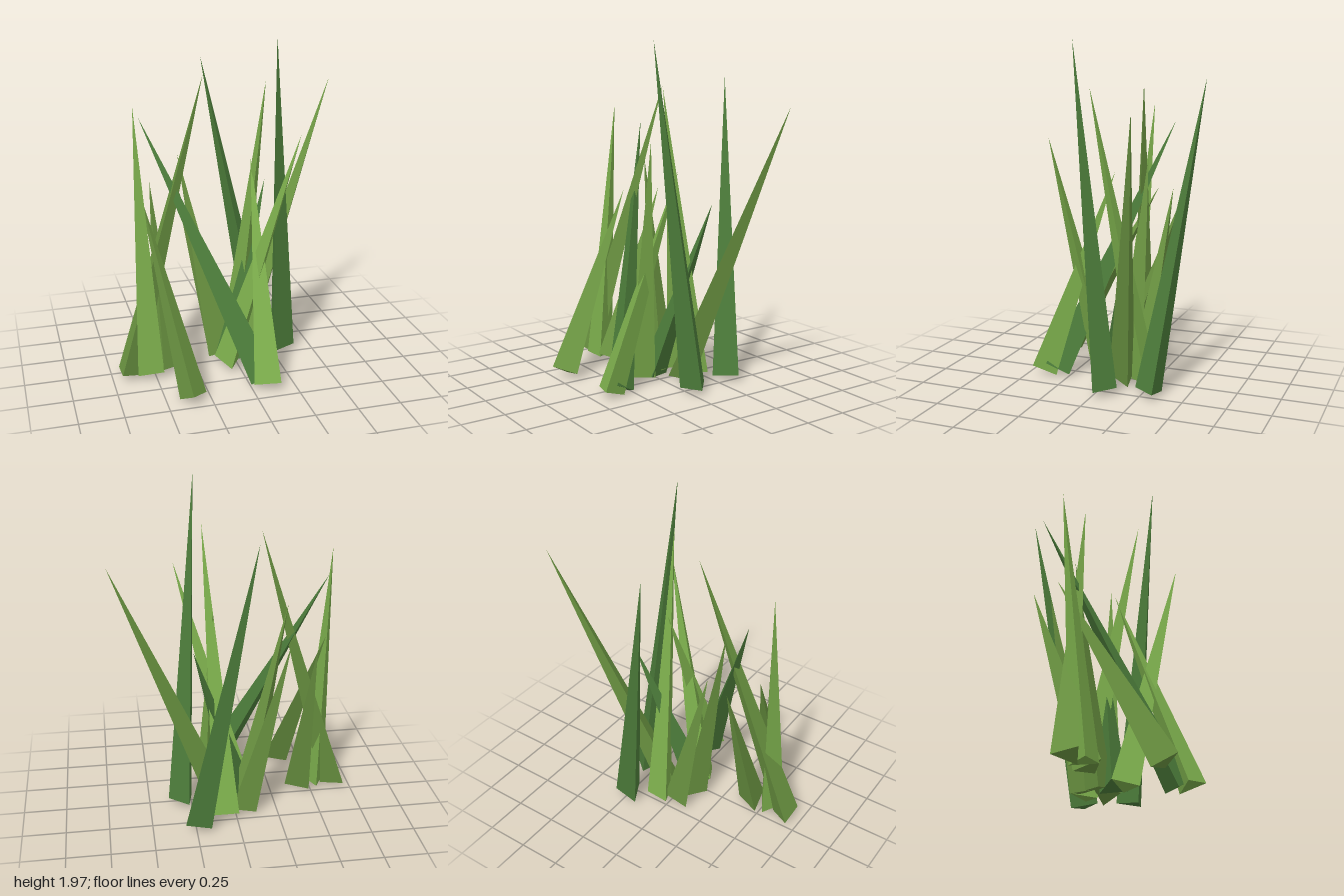
import * as THREE from 'three';

// Three greens for the grass
const green = (name, color) => new THREE.MeshStandardMaterial({ name, color, flatShading: true });
const light = green('lightGreen', 0x7cae4c);
const mid = green('midGreen', 0x6c9642);
const dark = green('darkGreen', 0x4c7c3a);

const RADIUS = 0.088;
const BASE_Y = 0.042;

// Each blade: material, tip x y z, base centre x z, heading of one base corner in plan (degrees from +x to +z)
const BLADES = [
  [dark, -0.07, 1.77, -0.52, 0.235, -0.305, -146],
  [mid, 0.695, 1.63, -0.36, 0.075, -0.09, -35],
  [light, 0.305, 1.45, 0.265, -0.06, 0.085, 90],
  [light, 0.155, 1.72, 0.085, 0.06, -0.215, 97],
  [dark, 0.24, 1.07, -0.195, -0.05, 0.01, -80],
  [dark, -0.51, 1.49, -0.205, 0.08, 0.33, 40],
  [mid, -0.44, 1.08, -0.29, -0.43, 0.065, -10],
  [mid, -0.3, 1.11, -0.26, -0.045, -0.17, -152],
  [mid, -0.31, 1.29, -0.1, -0.075, -0.065, -87],
  [mid, -0.15, 1.73, -0.125, -0.66, 0.07, 0],
  [light, -0.565, 1.59, -0.05, -0.535, 0.09, -90],
  [mid, -0.53, 1.07, -0.09, -0.355, 0.435, 95],
  [dark, 0.19, 1.98, 0.17, 0.3, -0.04, 131],
  [light, 0.11, 1.25, -0.05, 0.09, 0.4, -73],
];

// Three-sided spike leaning from its base centre to its tip
function makeBlade([material, tx, ty, tz, bx, bz, heading]) {
  const base = new THREE.Vector3(bx, BASE_Y, bz);
  const axis = new THREE.Vector3(tx, ty, tz).sub(base);
  const length = axis.length();
  axis.normalize();

  // Base corner direction, made square to the leaning axis
  const angle = THREE.MathUtils.degToRad(heading);
  const corner = new THREE.Vector3(Math.cos(angle), 0, Math.sin(angle));
  corner.addScaledVector(axis, -corner.dot(axis)).normalize();
  const side = new THREE.Vector3().crossVectors(axis, corner);

  const geometry = new THREE.ConeGeometry(RADIUS, length, 3);
  geometry.translate(0, length / 2, 0);
  geometry.applyMatrix4(new THREE.Matrix4().makeBasis(side, axis, corner).setPosition(base));
  return new THREE.Mesh(geometry, material);
}

export function createModel() {
  const tuft = new THREE.Group();
  tuft.name = 'grassTuft';
  BLADES.forEach((spec, i) => {
    const blade = makeBlade(spec);
    blade.name = `grassBlade${i + 1}`;
    tuft.add(blade);
  });
  return tuft;
}
